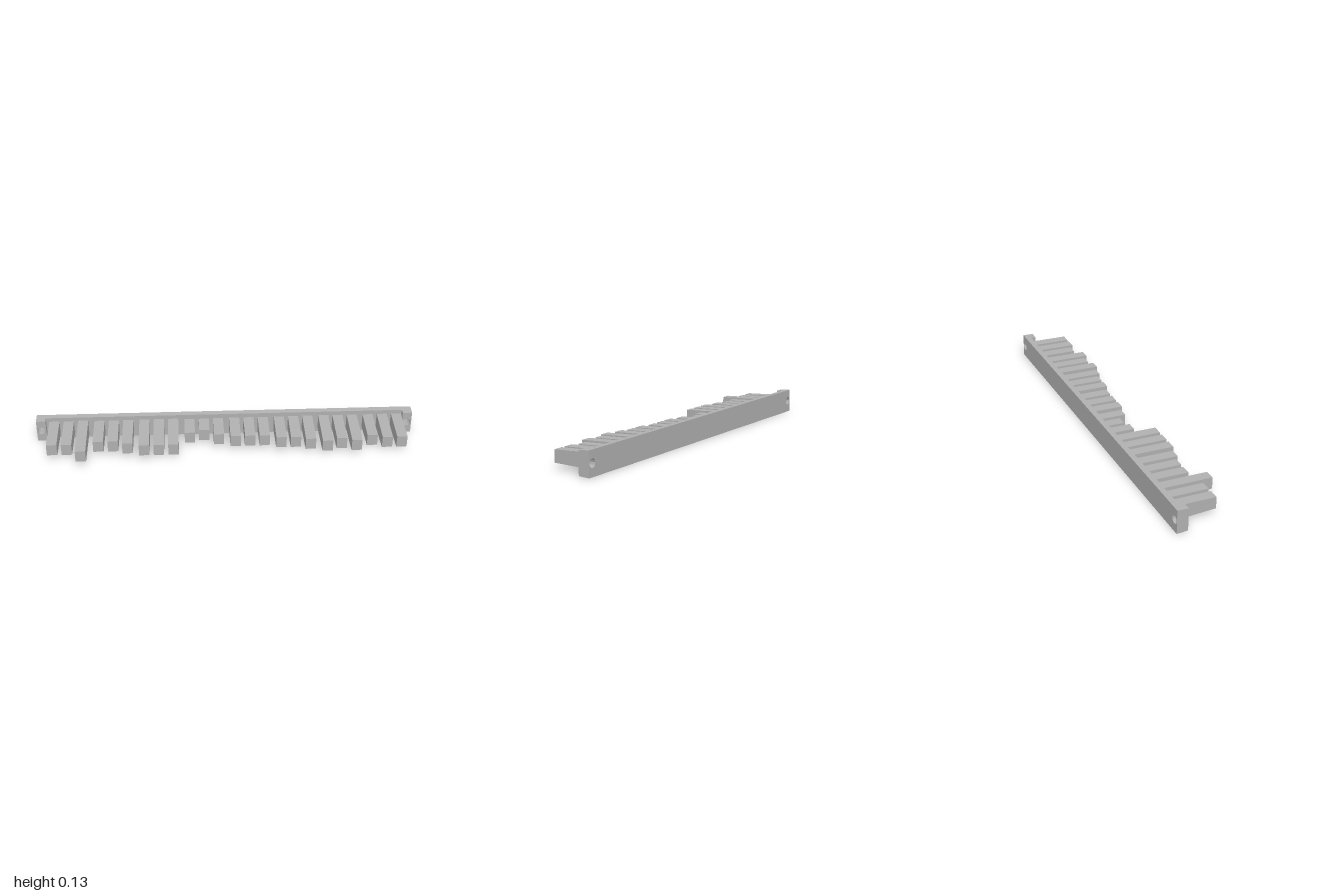
import * as THREE from 'three';

const MID = 0.0635; // height of the centre line

// Scale heights about the centre line by a factor depending on z (mould draft)
function draft(geo, factorAt) {
  const p = geo.attributes.position;
  for (let i = 0; i < p.count; i++) {
    p.setY(i, MID + (p.getY(i) - MID) * factorAt(p.getZ(i)));
  }
  geo.computeVertexNormals();
  return geo;
}

// Rectangular slab with round screw holes, extruded from z0 to z1
function slab(x0, x1, z0, z1, holes) {
  const s = new THREE.Shape();
  s.moveTo(x0, 0).lineTo(x1, 0).lineTo(x1, 2 * MID).lineTo(x0, 2 * MID).closePath();
  for (const hx of holes) {
    s.holes.push(new THREE.Path().absarc(hx, MID + 0.001, 0.022, 0, Math.PI * 2, true));
  }
  const g = new THREE.ExtrudeGeometry(s, { depth: z1 - z0, bevelEnabled: false, curveSegments: 6 });
  g.translate(0, 0, z0);
  return draft(g, z => 1 - 0.9 * (z + 0.15));
}

export function createModel() {
  const group = new THREE.Group();
  const grey = new THREE.MeshStandardMaterial({ color: 0xb0b0b0 });
  grey.name = 'grey';
  const add = (name, geo) => {
    const m = new THREE.Mesh(geo, grey);
    m.name = name;
    group.add(m);
  };

  // Back rail with a mounting block at each end
  add('backRail', slab(-1, 1, -0.15, -0.12, [-0.975, 0.975]));
  add('rightMountBlock', slab(-1, -0.95, -0.12, -0.092, [-0.975]));
  add('leftMountBlock', slab(0.95, 1, -0.12, -0.092, [0.975]));

  // Teeth: eight groups of three, each reaching its own front position
  const fronts = [
    0.087, 0.087, 0.15, 0.066, 0.066, 0.087, 0.108, 0.108, 0.108, 0.004, -0.017, 0.025,
    0.045, 0.045, 0.045, 0.066, 0.066, 0.087, 0.108, 0.087, 0.108, 0.066, 0.087, 0.087,
  ];
  const back = -0.12, endHeight = 0.063;
  fronts.forEach((front, i) => {
    const x = -0.907 + Math.floor(i / 3) * 0.239 + (i % 3) * 0.0763;
    const geo = new THREE.BoxGeometry(0.054, endHeight, front - back);
    geo.translate(x, MID + 0.0005, (front + back) / 2);
    // Taper towards the front face, which is the same height on every tooth
    add('tooth' + (i + 1), draft(geo, z => 1 + (0.07 * (front - z)) / endHeight));
  });

  return group;
}
